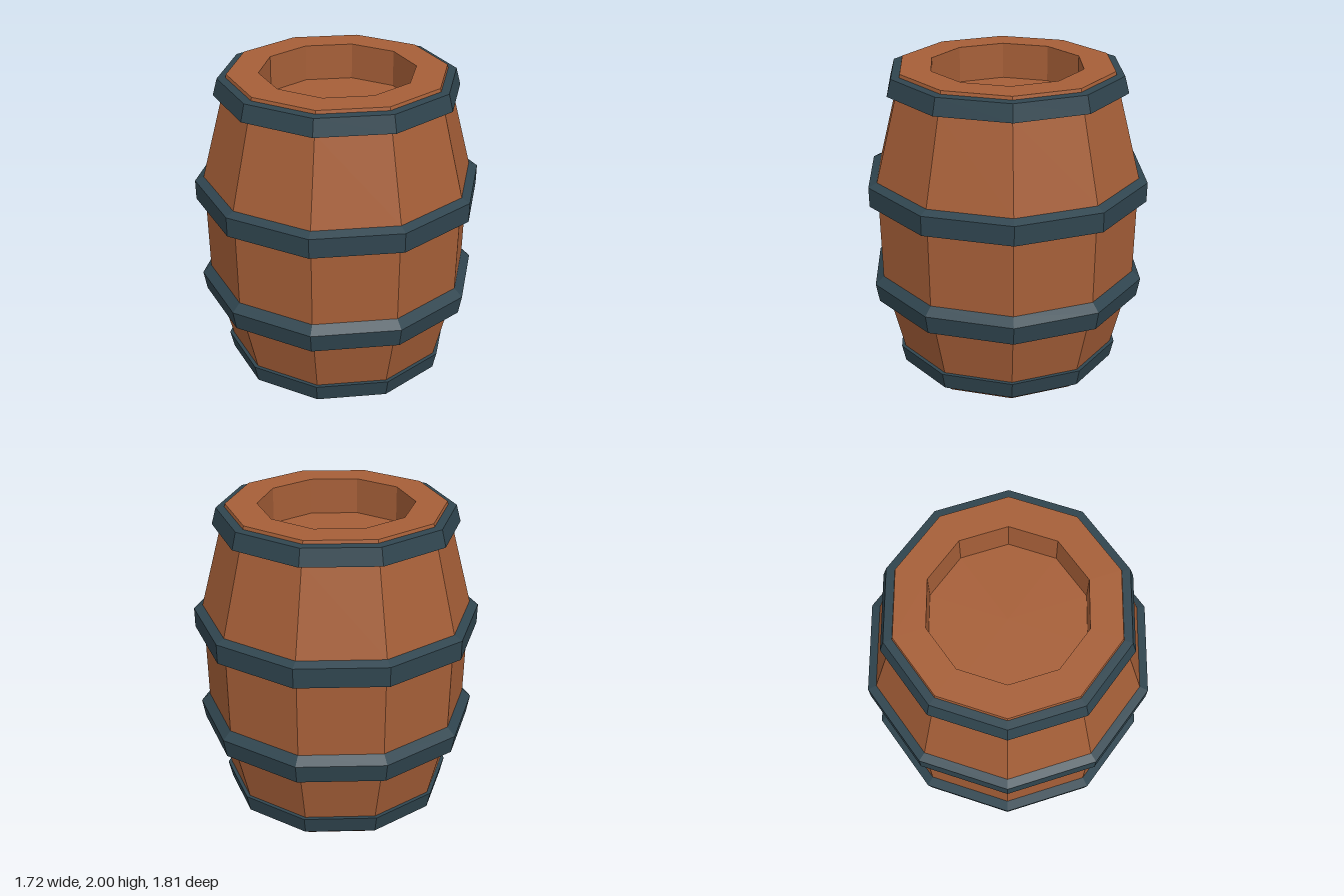
import * as THREE from 'three';

const SIDES = 10;

// Faceted ring or body turned from [radius, height] pairs, listed bottom to top on the outside.
function turned(name, profile, color) {
  const points = profile.map(([r, y]) => new THREE.Vector2(r, y));
  const mesh = new THREE.Mesh(
    new THREE.LatheGeometry(points, SIDES),
    new THREE.MeshStandardMaterial({ color, flatShading: true })
  );
  mesh.name = name;
  return mesh;
}

export function createModel() {
  const group = new THREE.Group();
  group.name = 'barrel';
  const wood = 0xa65f38;
  const iron = 0x30454f;

  // Wooden body with bulging staves and a recessed lid
  group.add(turned('woodenBody', [
    [0, 0], [0.64, 0], [0.685, 0.05], [0.71, 0.16], [0.8, 0.52], [0.835, 0.69],
    [0.845, 1.18], [0.85, 1.33], [0.71, 1.87], [0.68, 2],
    [0.485, 2], [0.485, 1.77], [0, 1.77],
  ], wood));

  // Iron hoops: each runs from the body, round the outside and back to the body
  const hoops = {
    bottomHoop: [[0.67, 0.05], [0.71, 0.05], [0.735, 0.16], [0.7, 0.16]],
    lowerHoop: [[0.79, 0.52], [0.868, 0.52], [0.89, 0.64], [0.835, 0.69]],
    upperHoop: [[0.835, 1.18], [0.903, 1.18], [0.905, 1.305], [0.85, 1.33]],
    topHoop: [[0.7, 1.87], [0.765, 1.87], [0.737, 1.975], [0.68, 1.98]],
  };
  for (const [name, profile] of Object.entries(hoops)) {
    group.add(turned(name, profile, iron));
  }

  return group;
}
